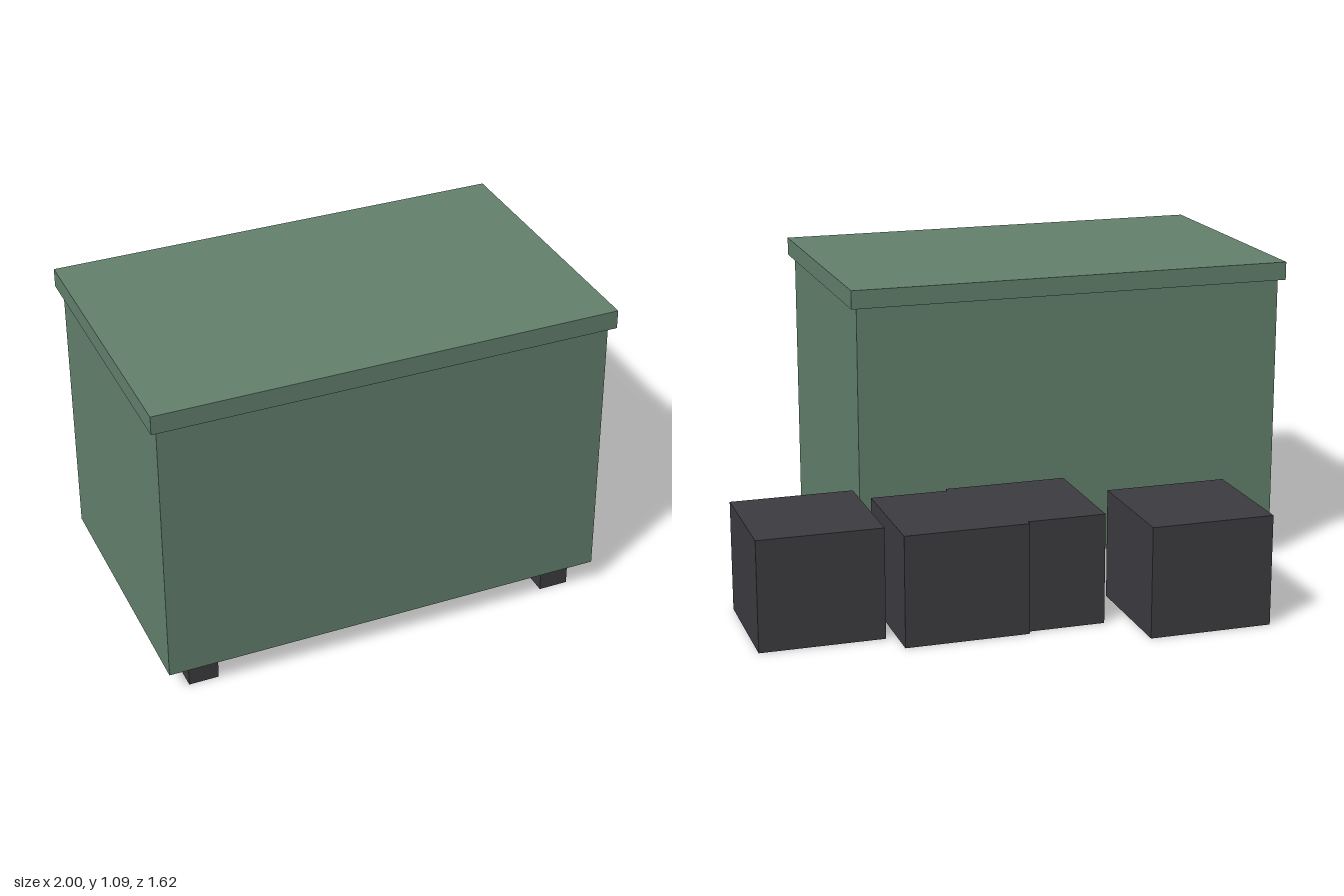
import * as THREE from 'three';

export function createModel() {
  const model = new THREE.Group();
  model.name = 'binWithBlocks';

  const green = new THREE.MeshStandardMaterial({ color: 0x64826e });
  green.name = 'sage green';
  const dark = new THREE.MeshStandardMaterial({ color: 0x3d3c41 });
  dark.name = 'charcoal';

  // Box centred on (x, z), resting at height y
  const addBox = (name, material, [w, h, d], x, y, z) => {
    const mesh = new THREE.Mesh(new THREE.BoxGeometry(w, h, d), material);
    mesh.name = name;
    mesh.position.set(x, y + h / 2, z);
    model.add(mesh);
  };

  // Chest body and overhanging lid
  const cx = -0.21, cz = 0.32;
  addBox('body', green, [1.535, 0.94, 0.94], cx, 0.088, cz);
  addBox('lid', green, [1.578, 0.064, 0.98], cx, 1.028, cz);

  // Four small feet
  for (const sx of [-1, 1]) {
    for (const sz of [-1, 1]) {
      const name = (sz > 0 ? 'front' : 'back') + (sx > 0 ? 'Left' : 'Right') + 'Foot';
      addBox(name, dark, [0.102, 0.088, 0.102], cx + sx * 0.641, 0, cz + sz * 0.386);
    }
  }

  // Loose blocks standing behind the chest
  const blocks = [[-0.47, -0.598], [0.053, -0.416], [0.323, -0.436], [0.787, -0.334]];
  blocks.forEach(([x, z], i) => addBox('block' + (i + 1), dark, [0.426, 0.384, 0.426], x, 0, z));

  return model;
}
